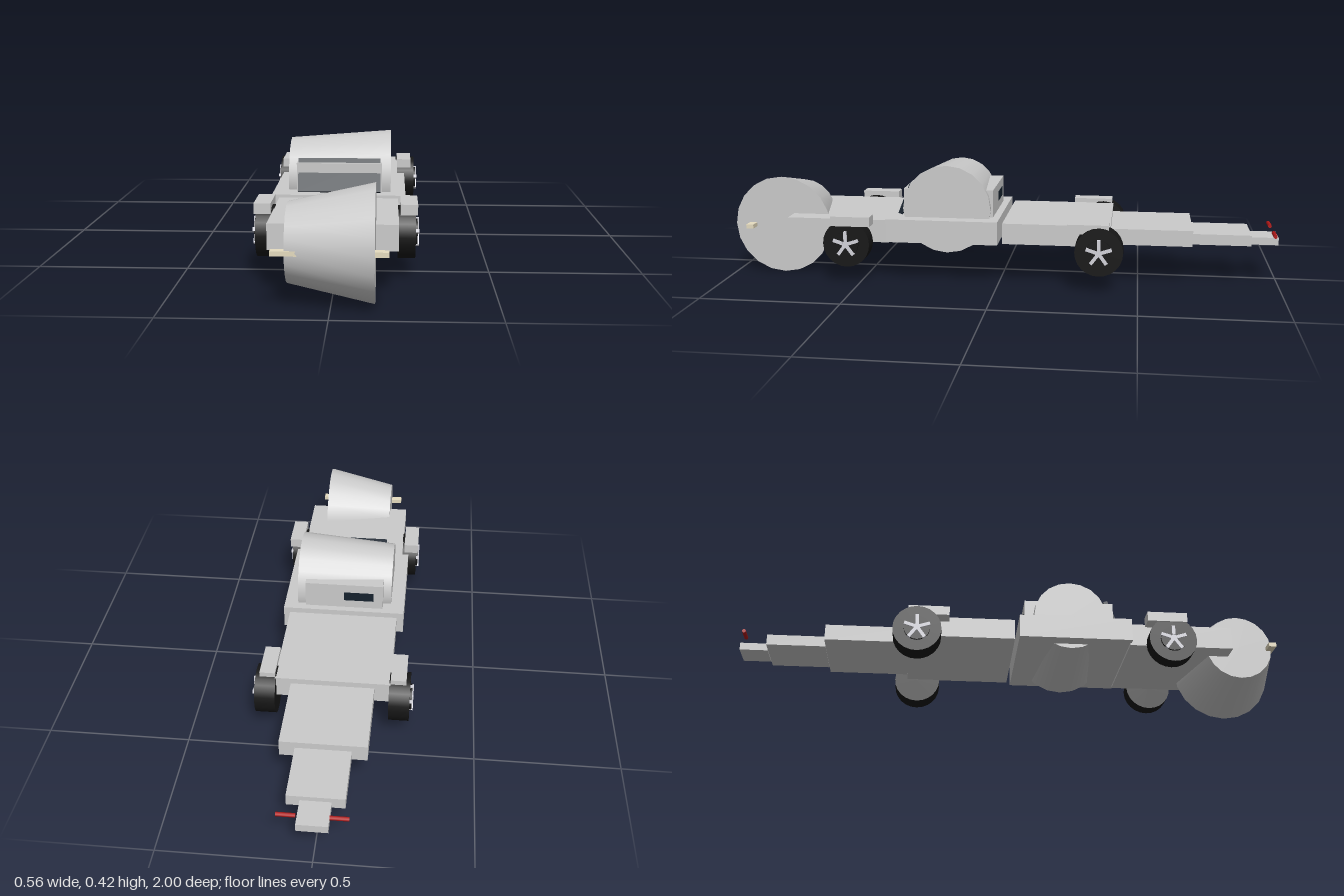
import * as THREE from 'three';

const mat = (color) => new THREE.MeshStandardMaterial({ color });

export function createModel() {
  const model = new THREE.Group();
  const grey = mat(0xcccccc), glass = mat(0x16222e), rubber = mat(0x161616);
  const red = mat(0xb01818), cream = mat(0xe6dcc0), alloy = mat(0xd4d4dc);

  const add = (name, geometry, material, parent = model) => {
    const mesh = new THREE.Mesh(geometry, material);
    mesh.name = name;
    parent.add(mesh);
    return mesh;
  };
  // Box given by its limits on each axis
  const box = (name, [x0, x1], [y0, y1], [z0, z1], material = grey, parent = model) => {
    const mesh = add(name, new THREE.BoxGeometry(x1 - x0, y1 - y0, z1 - z0), material, parent);
    mesh.position.set((x0 + x1) / 2, (y0 + y1) / 2, (z0 + z1) / 2);
    return mesh;
  };
  // Cylinder or cone lying along x, with its first radius at +x
  const drum = (name, rPlus, rMinus, length, sides, material, parent = model) =>
    add(name, new THREE.CylinderGeometry(rPlus, rMinus, length, sides).rotateZ(-Math.PI / 2), material, parent);

  // Body slabs: half width, bottom, top, back, front
  [
    ['frontBody', 0.2, 0.142, 0.225, 0.4, 0.775],
    ['midBody', 0.225, 0.15, 0.234, 0, 0.405],
    ['rearBody', 0.2, 0.15, 0.225, -0.4, -0.015],
    ['tailWide', 0.145, 0.147, 0.205, -0.69, -0.4],
    ['tailMiddle', 0.093, 0.143, 0.182, -0.9, -0.69],
    ['tailTip', 0.05, 0.139, 0.166, -1, -0.9],
  ].forEach(([name, w, y0, y1, z0, z1]) => box(name, [-w, w], [y0, y1], [z0, z1]));

  // Tapered nose and cabin roof
  drum('nose', 0.181, 0.122, 0.262, 20, grey).position.set(0, 0.181, 0.819);
  drum('cabinRoof', 0.16, 0.132, 0.35, 20, grey).position.set(0, 0.265, 0.19);

  // Cabin and its windows
  box('cabin', [-0.145, 0.145], [0.225, 0.333], [0.025, 0.352]);
  const windshield = add('windshield', new THREE.BoxGeometry(0.28, 0.116, 0.016), glass);
  windshield.position.set(0, 0.291, 0.347);
  windshield.rotation.x = -0.38;
  box('rearWindow', [-0.11, 0], [0.265, 0.3], [0.024, 0.04], glass);

  // Wheel with five spokes, its outer face towards +x
  const wheel = (name, width) => {
    const group = new THREE.Group();
    group.name = name;
    drum('tyre', 0.085, 0.085, width, 24, rubber, group);
    drum('rim', 0.046, 0.046, 0.008, 20, rubber, group).position.x = width / 2 + 0.003;
    drum('hub', 0.012, 0.012, 0.012, 12, alloy, group).position.x = width / 2 + 0.005;
    for (let i = 0; i < 5; i++) {
      const spoke = new THREE.BoxGeometry(0.012, 0.036, 0.012).translate(width / 2 + 0.006, 0.029, 0);
      add('spoke', spoke, alloy, group).rotation.x = (i * Math.PI * 2) / 5;
    }
    return group;
  };

  // Paired parts on both sides
  for (const side of [1, -1]) {
    const pair = (a, b) => (side > 0 ? [a, b] : [-b, -a]);
    for (const [name, inner, outer, z] of [['frontWheel', 0.198, 0.255, 0.544], ['rearWheel', 0.196, 0.268, -0.362]]) {
      const w = wheel(name, outer - inner);
      w.position.set((side * (inner + outer)) / 2, 0.146, z);
      if (side < 0) w.rotation.y = Math.PI;
      model.add(w);
    }
    box('frontFender', pair(0.207, 0.262), [0.212, 0.247], [0.455, 0.598]);
    box('rearFender', pair(0.2, 0.254), [0.208, 0.241], [-0.395, -0.25]);
    box('headlight', pair(0.085, 0.172), [0.171, 0.186], [0.921, 0.948], cream);
    drum('tailLight', 0.007, 0.007, 0.06, 10, red).position.set(side * 0.082, 0.185, -0.98);
  }
  return model;
}
